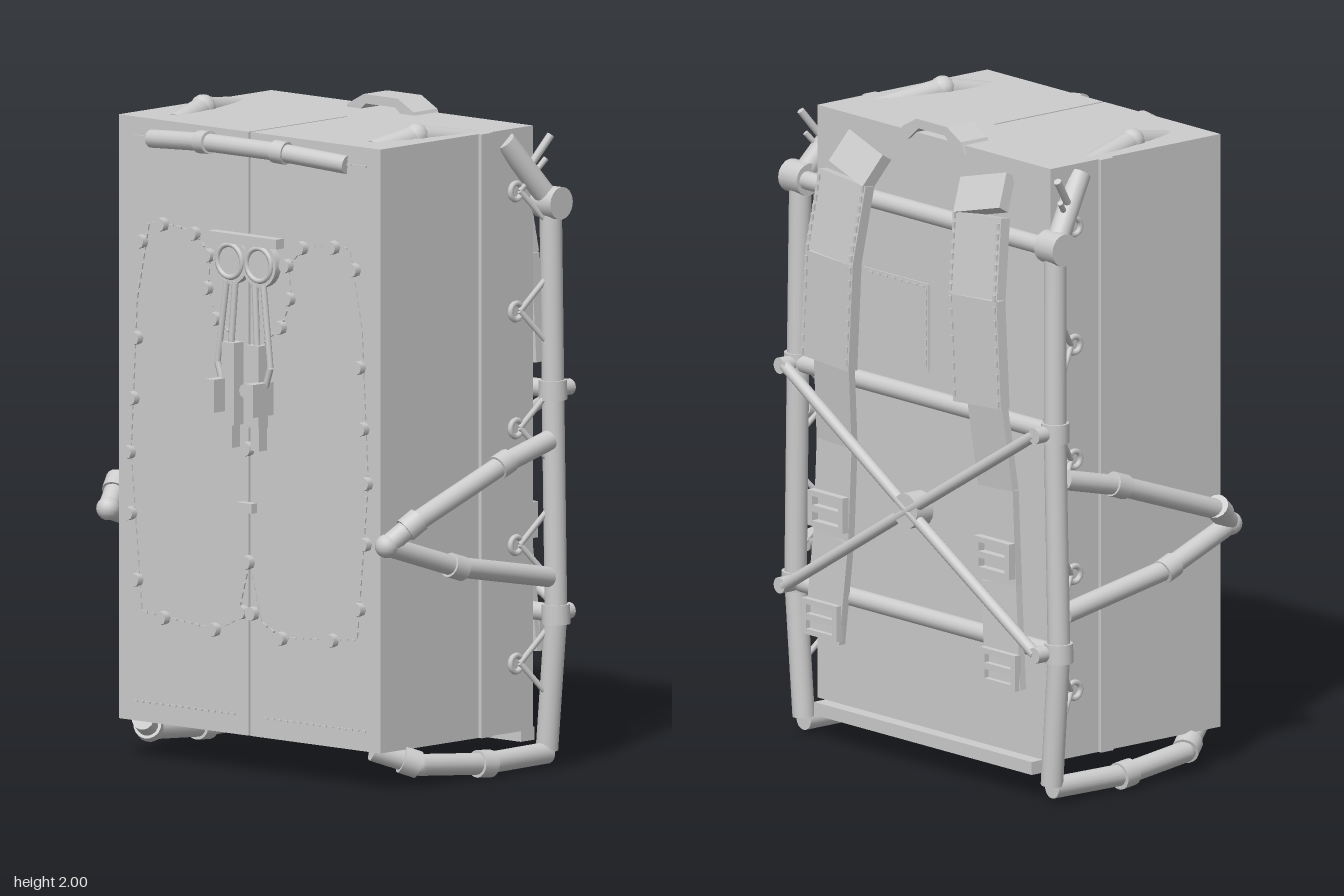
import * as THREE from 'three';

const grey = new THREE.MeshStandardMaterial({ color: 0xcccccc });
grey.name = 'plain grey';
const V = (p) => new THREE.Vector3(...p);

export function createModel() {
  const root = new THREE.Group();
  root.name = 'framedBackpackCase';

  const add = (name, geo, pos = [0, 0, 0], parent = root) => {
    const m = new THREE.Mesh(geo, grey);
    m.name = name;
    m.position.set(...pos);
    parent.add(m);
    return m;
  };
  const box = (name, w, h, d, x, y, z) => add(name, new THREE.BoxGeometry(w, h, d), [x, y, z]);

  // round rod between two points
  const rod = (name, a, b, r, r2 = r, sides = 16) => {
    const A = V(a), B = V(b), d = B.clone().sub(A);
    const m = add(name, new THREE.CylinderGeometry(r2, r, d.length(), sides), A.clone().add(B).multiplyScalar(0.5).toArray());
    m.quaternion.setFromUnitVectors(new THREE.Vector3(0, 1, 0), d.normalize());
    return m;
  };
  // jointed pipe through several points
  const pipe = (name, pts, r) => {
    for (let i = 0; i < pts.length - 1; i++) rod(name, pts[i], pts[i + 1], r);
    pts.slice(1, -1).forEach((p) => add(name + 'Joint', new THREE.SphereGeometry(r, 16, 10), p));
  };
  // collar around a pipe, at fraction t from a to b
  const collar = (a, b, t, r, len = 0.055) => {
    const A = V(a), B = V(b), c = A.clone().lerp(B, t), d = B.sub(A).normalize().multiplyScalar(len / 2);
    rod('collar', c.clone().sub(d).toArray(), c.clone().add(d).toArray(), r);
  };
  // flat slab running from a to b, its width along x
  const slab = (name, a, b, w, t) => {
    const A = V(a), B = V(b), y = B.clone().sub(A), len = y.length();
    y.normalize();
    const z = new THREE.Vector3(1, 0, 0).cross(y).normalize(), x = y.clone().cross(z);
    const m = add(name, new THREE.BoxGeometry(w, len, t), A.add(B).multiplyScalar(0.5).toArray());
    m.quaternion.setFromRotationMatrix(new THREE.Matrix4().makeBasis(x, y, z));
    return m;
  };
  // row of stitches along a flat polyline
  const stitches = (pts, z, step = 0.032) => {
    for (let i = 0; i < pts.length - 1; i++) {
      const [ax, ay] = pts[i], [bx, by] = pts[i + 1];
      const len = Math.hypot(bx - ax, by - ay), n = Math.max(1, Math.round(len / step));
      for (let k = 0; k < n; k++) {
        const t = (k + 0.5) / n;
        box('stitch', 0.019, 0.006, 0.006, ax + (bx - ax) * t, ay + (by - ay) * t, z)
          .rotation.z = Math.atan2(by - ay, bx - ax);
      }
    }
  };

  // case body: back shell, raised side band
  box('backShell', 1.07, 1.835, 0.19, 0, 1.0375, -0.215);
  box('sideBand', 1.095, 1.835, 0.05, 0, 1.0375, -0.095);
  box('rearSill', 1.0, 0.04, 0.06, 0, 0.1, -0.325);

  // carry handle on top
  const arch = new THREE.Shape();
  [[-0.15, 1.93], [-0.135, 1.965], [-0.07, 2], [0.07, 2], [0.135, 1.965], [0.15, 1.93],
    [0.11, 1.93], [0.06, 1.972], [-0.06, 1.972], [-0.11, 1.93]]
    .forEach(([x, y], i) => (i ? arch.lineTo(x, y) : arch.moveTo(x, y)));
  add('carryHandle', new THREE.ExtrudeGeometry(arch, { depth: 0.105, bevelEnabled: false }), [0, 0, -0.32]);

  // front grab rail
  const rail = [[-0.4, 1.895, 0.365], [-0.155, 1.912, 0.395], [0.155, 1.912, 0.395], [0.4, 1.895, 0.365]];
  pipe('frontRail', rail, 0.028);

  // latch bar and back braces
  box('latchBar', 0.28, 0.03, 0.04, 0, 1.63, 0.38);
  box('latchPlate', 0.2, 0.09, 0.02, 0, 1.58, 0.372);
  for (const y of [1.725, 1.155, 0.475]) rod('backBar', [-0.59, y, -0.345], [0.59, y, -0.345], 0.028);
  rod('braceHub', [0, 0.815, -0.425], [0, 0.815, -0.36], 0.055);
  box('stud', 0.06, 0.03, 0.03, 0, 0.815, 0.375);

  for (const s of [1, -1]) {
    const P = (x, y, z) => [s * x, y, z];

    box('frontDoor', 0.531, 1.835, 0.435, s * 0.2695, 1.0375, 0.1475);
    collar(P(0.155, 1.912, 0.395), P(0.17, 1.911, 0.393), 0, 0.035, 0.045);

    // upright of the frame with its collars and top elbow
    const up = [P(0.57, 0.06, -0.335), P(0.605, 0.475, -0.337), P(0.59, 1.155, -0.34), P(0.585, 1.725, -0.335), P(0.53, 1.92, -0.19)];
    pipe('upright', up, 0.034);
    collar(up[1], up[2], 0, 0.043, 0.06);
    collar(up[2], up[3], 0, 0.043, 0.06);
    rod('topJoint', P(0.545, 1.725, -0.335), P(0.63, 1.725, -0.335), 0.05);
    rod('topPin', P(0.56, 1.82, -0.25), P(0.59, 1.93, -0.33), 0.012, 0.012, 8);

    // foot rail under the case
    const foot = [P(0.57, 0.05, -0.335), P(0.575, 0.048, -0.05), P(0.55, 0.07, 0.21), P(0.47, 0.12, 0.33)];
    pipe('footRail', foot, 0.033);
    collar(foot[1], foot[2], 0, 0.042);
    collar(foot[2], foot[3], 0.2, 0.042);

    // V-shaped side handle
    const tip = P(0.57, 0.755, 0.375);
    const arms = [[P(0.6, 1.005, -0.31), P(0.605, 0.955, -0.1), P(0.605, 0.815, 0.3), tip],
      [P(0.6, 0.59, -0.31), P(0.6, 0.665, 0.1), tip]];
    arms.forEach((a) => {
      pipe('sideHandle', a, 0.031);
      for (let i = 1; i < a.length - 1; i++) collar(a[i], a[i + 1], 0, 0.038);
    });
    add('sideHandleTip', new THREE.SphereGeometry(0.036, 16, 10), tip);

    // bowed grip half sunk in the top
    const grip = [P(0.405, 1.925, 0.26), P(0.435, 1.957, 0.1), P(0.485, 1.92, -0.13)];
    pipe('topGrip', grip, 0.034);
    collar(grip[0], grip[2], 0.41, 0.046, 0.065);
    add('gripCollar', new THREE.SphereGeometry(0.04, 12, 8), grip[1]);

    // lacing rings tied to the upright
    for (const y of [1.765, 1.4, 1.045, 0.69, 0.33]) {
      add('lacingRing', new THREE.TorusGeometry(0.025, 0.009, 8, 16), P(0.545, y, -0.225)).rotation.y = Math.PI / 2;
      for (const d of [0.095, -0.095]) rod('lacingRod', P(0.548, y, -0.24), P(0.585, y + d, -0.315), 0.009, 0.009, 8);
    }

    // diagonal half braces
    for (const y of [1.155, 0.475]) {
      rod('diagonalBrace', P(0, 0.815, -0.41), P(0.575, y, -0.405), 0.018);
      rod('braceMount', P(0.585, y, -0.34), P(0.585, y, -0.42), 0.025);
    }

    // shoulder strap: tab, padded upper part and webbing
    slab('strapTab', P(0.27, 1.885, -0.33), P(0.3, 1.79, -0.385), 0.19, 0.04);
    const pads = [P(0.31, 1.785, -0.39), P(0.33, 1.54, -0.425), P(0.35, 1.21, -0.425)];
    for (let i = 0; i < 2; i++) {
      slab('strapPad', pads[i], pads[i + 1], 0.22, 0.035);
      const A = V(pads[i]), B = V(pads[i + 1]);
      for (const e of [-0.1, 0.1]) for (let k = 0; k < 8; k++) {
        const c = A.clone().lerp(B, (k + 0.5) / 8);
        box('padStitch', 0.01, 0.02, 0.01, c.x + e, c.y, c.z - 0.018);
      }
    }
    const web = [P(0.35, 1.24, -0.405), P(0.37, 0.95, -0.375), P(0.385, 0.66, -0.375), P(0.415, 0.34, -0.385)];
    for (let i = 0; i < 3; i++) slab('strapWebbing', web[i], web[i + 1], 0.16, 0.024);

    // slotted strap buckles
    const frame = new THREE.Shape([[-0.08, -0.055], [0.08, -0.055], [0.08, 0.055], [-0.08, 0.055]].map((p) => new THREE.Vector2(...p)));
    for (const y of [-0.024, 0.024]) {
      frame.holes.push(new THREE.Path([[-0.06, y - 0.014], [-0.06, y + 0.014], [0.06, y + 0.014], [0.06, y - 0.014]]
        .map((p) => new THREE.Vector2(...p))));
    }
    for (const [x, y] of [[0.382, 0.74], [0.41, 0.4]]) {
      add('buckle', new THREE.ExtrudeGeometry(frame, { depth: 0.025, bevelEnabled: false }), P(x, y, -0.413));
    }

    // studs on the front
    [[0.35, 1.64], [0.22, 1.625], [0.435, 1.58], [0.455, 1.285], [0.47, 1.1], [0.485, 0.935], [0.48, 0.75], [0.455, 0.55],
      [0.345, 0.445], [0.137, 0.43], [0.021, 0.495], [0.16, 1.565], [0.168, 1.465], [0.133, 1.375]].forEach(([x, y]) =>
      add('stud', new THREE.CylinderGeometry(0.021, 0.021, 0.025, 8), P(x, y, 0.376)).rotation.x = Math.PI / 2);

    // seam stitching on the front
    const line = (pts, step) => stitches(pts.map(([x, y]) => [s * x, y]), 0.367, step);
    line([[0.03, 1.3], [0.13, 1.375], [0.17, 1.465], [0.16, 1.565], [0.22, 1.625], [0.3, 1.64], [0.41, 1.64], [0.46, 1.4],
      [0.485, 0.935], [0.44, 0.455], [0.137, 0.43], [0.05, 0.47], [0.008, 0.62]]);
    line([[0.055, 0.18], [0.48, 0.18]], 0.027);
    line([[0.4, 1.897], [0.48, 1.897]], 0.022);

    // latch: eyelet, twin links, pull and side block
    const disc = add('latchEyelet', new THREE.CylinderGeometry(0.07, 0.07, 0.025, 24), P(0.058, 1.56, 0.376));
    disc.rotation.x = Math.PI / 2;
    add('eyeletRing', new THREE.TorusGeometry(0.05, 0.008, 8, 24), P(0.06, 1.56, 0.389));
    rod('latchLink', P(0.04, 1.5, 0.385), P(0.055, 1.28, 0.39), 0.01, 0.01, 8);
    rod('latchLink', P(0.075, 1.5, 0.385), P(0.108, 1.25, 0.39), 0.01, 0.01, 8);
    rod('latchLink', P(0.108, 1.25, 0.39), P(0.085, 1.18, 0.39), 0.01, 0.01, 8);
    box('latchPull', 0.05, 0.25, 0.045, s * 0.05, 1.19, 0.385);
    box('latchPullTip', 0.035, 0.07, 0.035, s * 0.055, 1.03, 0.385);
    box('latchBlock', 0.035, 0.1, 0.09, s * 0.08, 1.155, 0.41);
  }

  // centre studs
  for (const y of [1.17, 0.993, 0.648]) {
    add('centreStud', new THREE.CylinderGeometry(0.022, 0.022, 0.025, 8), [0, y, 0.376]).rotation.x = Math.PI / 2;
  }

  // thin label panel on the back
  box('backPanel', 0.3, 0.27, 0.006, 0.17, 1.36, -0.312);
  stitches([[0.3, 1.485], [0.03, 1.485], [0.03, 1.235]], -0.316);

  return root;
}
